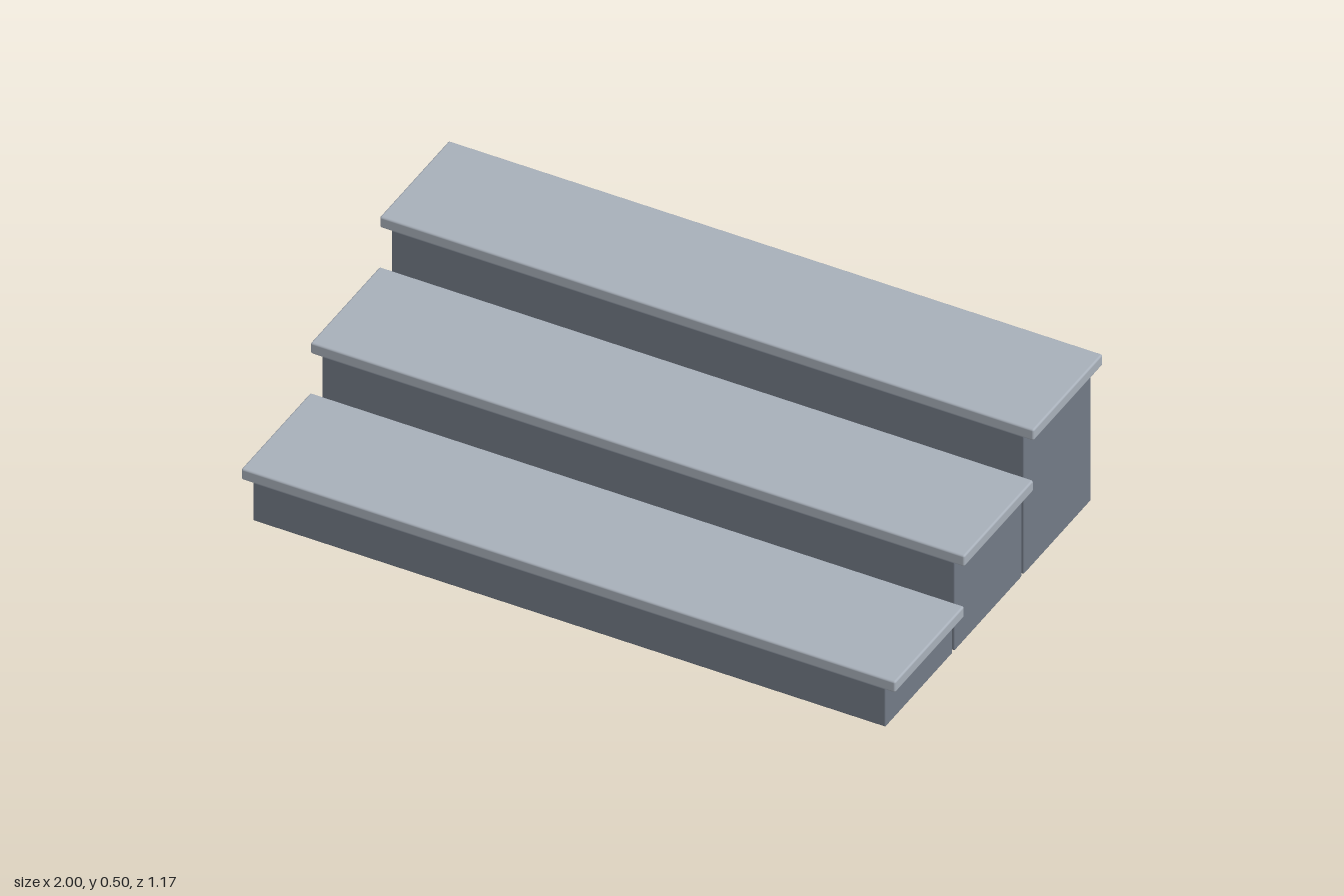
import * as THREE from 'three';
import { RoundedBoxGeometry } from 'three/addons/geometries/RoundedBoxGeometry.js';

const STEPS = 3;
const RISE = 0.5 / STEPS;
const PITCH = 0.389;
const TREAD = { width: 2, height: 0.037, depth: 0.389, bevel: 0.006 };
const RISER = { width: 1.934, depth: 0.377, bevel: 0.004 };

const treadMaterial = new THREE.MeshStandardMaterial({ color: 0xa8b0ba });
const riserMaterial = new THREE.MeshStandardMaterial({ color: 0x727a86 });

// Softly bevelled block standing on height y
function block(name, width, height, depth, bevel, y, material) {
  const mesh = new THREE.Mesh(new RoundedBoxGeometry(width, height, depth, 2, bevel), material);
  mesh.name = name;
  mesh.position.y = y + height / 2;
  return mesh;
}

export function createModel() {
  const model = new THREE.Group();
  model.name = 'steps';

  // Each step is a solid base with an overhanging tread, rising towards the back
  for (let i = 0; i < STEPS; i++) {
    const step = new THREE.Group();
    step.name = `step${i + 1}`;
    step.position.z = PITCH * ((STEPS - 1) / 2 - i);
    const baseHeight = RISE * (i + 1) - TREAD.height;
    step.add(
      block('stepBase', RISER.width, baseHeight, RISER.depth, RISER.bevel, 0, riserMaterial),
      block('tread', TREAD.width, TREAD.height, TREAD.depth, TREAD.bevel, baseHeight, treadMaterial)
    );
    model.add(step);
  }
  return model;
}
